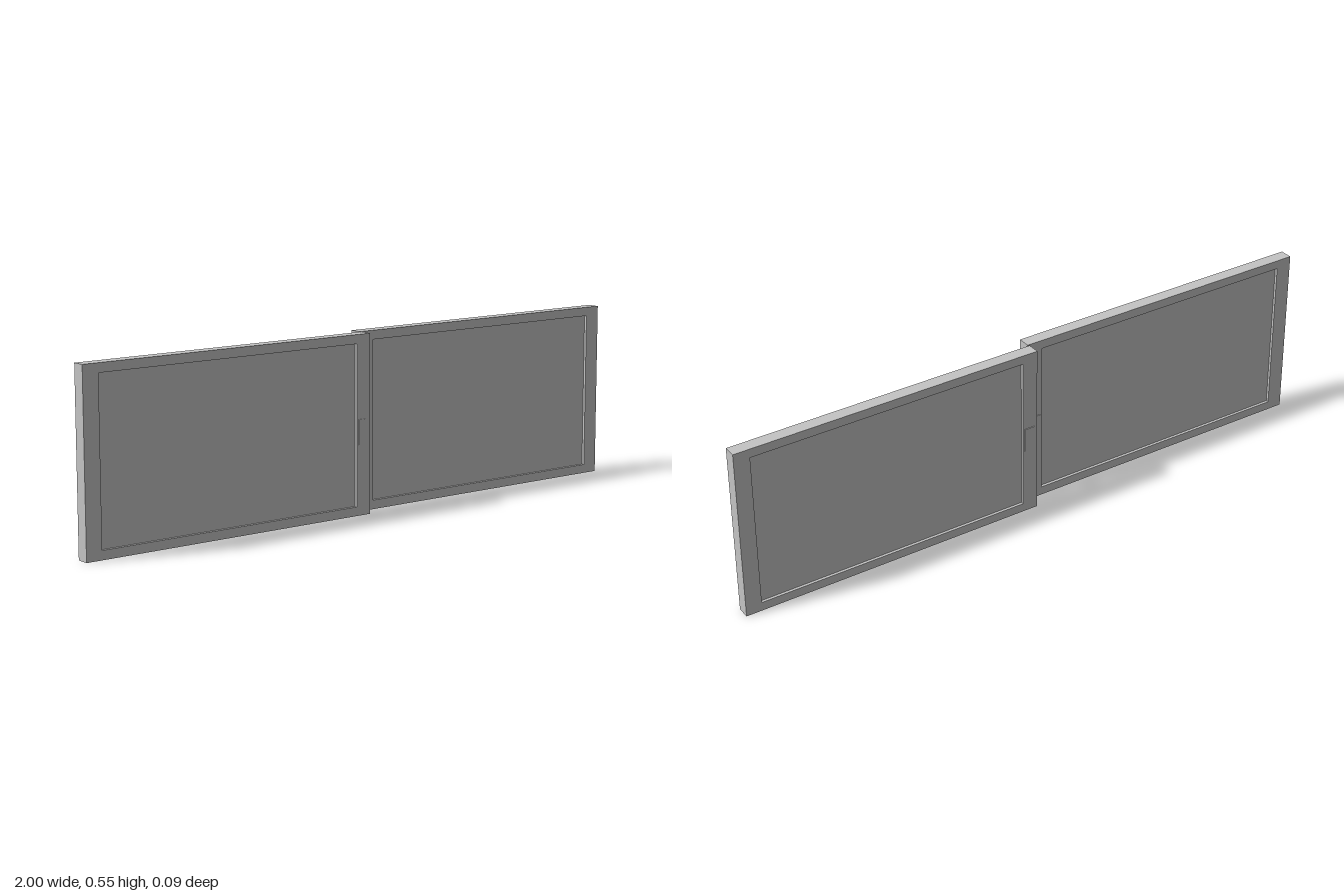
import * as THREE from 'three';

const WIDTH = 1.002, HEIGHT = 0.552, DEPTH = 0.0405;
const STILE = 0.051, RAIL = 0.028, RECESS = 0.009;

export function createModel() {
  const model = new THREE.Group();
  model.name = 'slidingWindow';
  const grey = new THREE.MeshStandardMaterial({ color: 0xc4c4c4 });
  grey.name = 'lightGrey';

  const add = (parent, name, geometry, x, y, z) => {
    const mesh = new THREE.Mesh(geometry, grey);
    mesh.name = name;
    mesh.position.set(x, y, z);
    parent.add(mesh);
  };

  // Frame: rectangle with one opening
  const w = WIDTH / 2, h = HEIGHT / 2;
  const outline = new THREE.Shape([
    new THREE.Vector2(-w, -h), new THREE.Vector2(w, -h),
    new THREE.Vector2(w, h), new THREE.Vector2(-w, h),
  ]);
  const ow = w - STILE, oh = h - RAIL;
  outline.holes.push(new THREE.Path([
    new THREE.Vector2(-ow, -oh), new THREE.Vector2(-ow, oh),
    new THREE.Vector2(ow, oh), new THREE.Vector2(ow, -oh),
  ]));
  const frame = new THREE.ExtrudeGeometry(outline, { depth: DEPTH, bevelEnabled: false });
  frame.translate(0, 0, -DEPTH / 2);

  // Pane recessed on both faces, and a thin pull plate on each face
  const pane = new THREE.BoxGeometry(2 * ow, 2 * oh, DEPTH - 2 * RECESS);
  const plate = new THREE.BoxGeometry(0.035, 0.078, 0.0025);

  // Two sashes on neighbouring tracks, meeting with a slight overlap; side is the sign of x
  for (const side of [-1, 1]) {
    const sash = new THREE.Group();
    sash.name = side < 0 ? 'rightSash' : 'leftSash';
    sash.position.set(side * (1 - w), h, -side * 0.0225);
    add(sash, 'frame', frame, 0, 0, 0);
    add(sash, 'pane', pane, 0, 0, 0);
    for (const face of [-1, 1]) {
      add(sash, face > 0 ? 'frontPull' : 'backPull', plate,
        -side * (w - 0.0275), 0.256 - h, face * (DEPTH / 2 + 0.00125));
    }
    model.add(sash);
  }
  return model;
}
